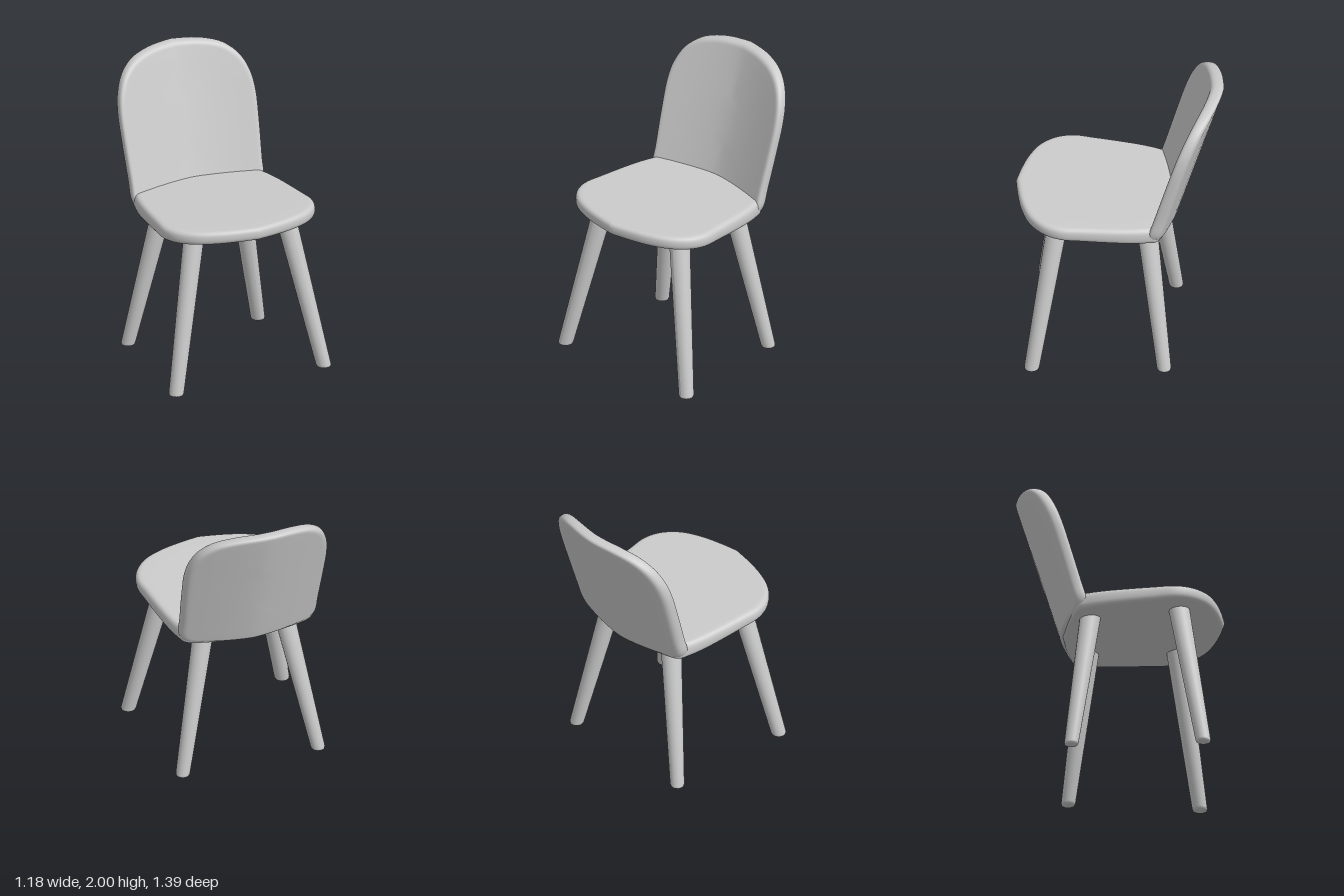
import * as THREE from 'three';
import { mergeVertices } from 'three/addons/utils/BufferGeometryUtils.js';

const material = new THREE.MeshStandardMaterial({ color: 0xcccccc });

// Smooth half outline (bottom to top, on +x), mirrored into a closed loop
function mirroredOutline(points) {
  const curve = new THREE.CatmullRomCurve3(
    points.map(([a, b]) => new THREE.Vector3(a, b, 0)), false, 'centripetal');
  const half = curve.getPoints(48).map((p) => [p.x, p.y]);
  const other = half.slice(1, -1).reverse().map(([a, b]) => [-a, b]);
  return [...half, ...other];
}

// Cushion-like slab: rings grow from a central spine, round the rim and return.
// place(a, b, c) maps outline position and depth c (-1 to 1) to space.
function slab(outline, spineLow, spineHigh, rimInset, place) {
  const rings = [];
  const inner = [0, 0.2, 0.4, 0.6, 0.8];
  inner.forEach((f) => rings.push([f * (1 - rimInset), 1]));
  const steps = 12;
  for (let i = 0; i <= steps; i++) {
    const t = (Math.PI * i) / steps;
    const cos = Math.cos(t);
    const out = Math.pow(Math.max(Math.sin(t), 0), 0.75);
    rings.push([1 - rimInset * (1 - out), Math.sign(cos) * Math.pow(Math.abs(cos), 0.75)]);
  }
  inner.slice().reverse().forEach((f) => rings.push([f * (1 - rimInset), -1]));

  const positions = [];
  const index = [];
  const n = outline.length;
  rings.forEach(([f, c], r) => {
    outline.forEach(([a, b], i) => {
      const s = THREE.MathUtils.clamp(b, spineLow, spineHigh);
      positions.push(...place(a * f, s + (b - s) * f, c));
      if (r === rings.length - 1) return;
      const j = (i + 1) % n;
      const p = r * n + i, q = r * n + j;
      index.push(p, p + n, q + n, p, q + n, q);
    });
  });
  let geometry = new THREE.BufferGeometry();
  geometry.setAttribute('position', new THREE.Float32BufferAttribute(positions, 3));
  geometry.setIndex(index);
  geometry = mergeVertices(geometry, 1e-5);
  geometry.computeVertexNormals();
  return geometry;
}

// Tapered leg with a flat foot, sheared from foot [x, z] to top [x, z]
function leg(foot, top, footRadius, topRadius, height) {
  const profile = [
    [0, 0], [footRadius - 0.016, 0], [footRadius - 0.004, 0.005],
    [footRadius, 0.018], [topRadius, height], [0, height],
  ].map(([r, y]) => new THREE.Vector2(r, y));
  const geometry = new THREE.LatheGeometry(profile, 20);
  const p = geometry.attributes.position;
  for (let i = 0; i < p.count; i++) {
    const k = p.getY(i) / height;
    p.setX(i, p.getX(i) + foot[0] + (top[0] - foot[0]) * k);
    p.setZ(i, p.getZ(i) + foot[1] + (top[1] - foot[1]) * k);
  }
  geometry.computeVertexNormals();
  return geometry;
}

// How far the sides of the curved backrest wrap forward
const wrap = (x) => 0.11 * Math.pow(Math.abs(x) / 0.48, 1.5);

export function createModel() {
  const chair = new THREE.Group();
  chair.name = 'chair';
  const add = (name, geometry) => {
    const mesh = new THREE.Mesh(geometry, material);
    mesh.name = name;
    chair.add(mesh);
  };

  // Seat: outline runs from the front tip to the back, b = -z
  const seatOutline = mirroredOutline([
    [0, -0.695], [0.12, -0.675], [0.28, -0.635], [0.42, -0.57], [0.515, -0.47],
    [0.553, -0.36], [0.545, -0.22], [0.51, 0.1], [0.48, 0.23],
    [0.455, 0.29], [0.3, 0.34], [0, 0.385],
  ]);
  add('seat', slab(seatOutline, -0.2, 0.05, 0.085, (a, b, c) => {
    const z = -b;
    const middle = 1.07 + (z + 0.23) * 0.06;
    const half = 0.059 - (z + 0.23) * 0.016;
    return [a, middle + c * half, z];
  }));

  // Backrest: leans back and wraps forward at the sides
  const backOutline = mirroredOutline([
    [0, 1.012], [0.3, 1.015], [0.44, 1.025], [0.478, 1.07], [0.485, 1.2],
    [0.497, 1.45], [0.5, 1.64], [0.482, 1.76], [0.43, 1.87], [0.34, 1.945],
    [0.2, 1.985], [0, 2],
  ]);
  add('backrest', slab(backOutline, 1.35, 1.6, 0.085, (a, b, c) => {
    const rear = -0.4 - (b - 1.02) * 0.307 + wrap(a);
    return [a, b, rear + 0.045 * (c + 1)];
  }));

  // Splayed legs
  for (const [side, s] of [['left', 1], ['right', -1]]) {
    add(`${side}FrontLeg`, leg([s * 0.545, 0.545], [s * 0.335, 0.385], 0.051, 0.071, 1.08));
    add(`${side}BackLeg`, leg([s * 0.48, -0.335], [s * 0.28, -0.2], 0.048, 0.071, 1.05));
  }
  return chair;
}
